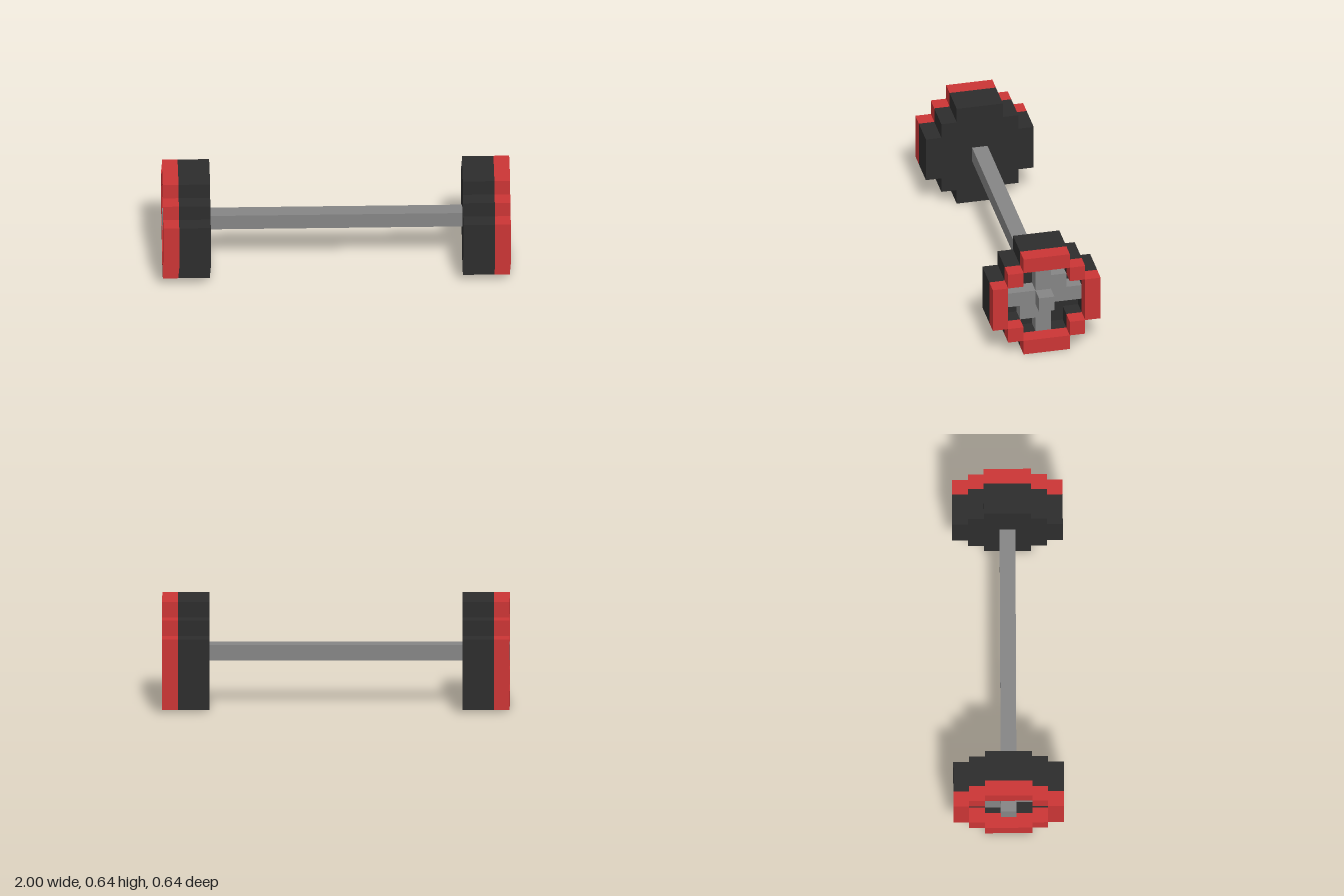
import * as THREE from 'three';

const U = 2 / 22; // one block of the blocky grid
const CY = 3.5 * U; // height of the bar's axis

export function createModel() {
  const model = new THREE.Group();
  model.name = 'barbell';
  const mat = (name, color) => {
    const m = new THREE.MeshStandardMaterial({ color });
    m.name = name;
    return m;
  };
  const red = mat('red rim', 0xcb3535);
  const black = mat('black plate', 0x2d2d2d);
  const grey = mat('grey steel', 0x858585);

  // Extrudes a stepped outline (in blocks) outwards along x, from block x0
  const slab = (points, x0, depth) => {
    const shape = new THREE.Shape(points.map(([a, b]) => new THREE.Vector2(a * U, b * U)));
    const g = new THREE.ExtrudeGeometry(shape, { depth: depth * U, bevelEnabled: false });
    return g.rotateY(Math.PI / 2).translate(x0 * U, 0, 0);
  };
  const add = (parent, name, geometry, material) => {
    const mesh = new THREE.Mesh(geometry, material);
    mesh.name = name;
    parent.add(mesh);
  };

  // Ring of four long blocks and four corner blocks
  const addRing = (parent, name, x0, material) => {
    const ring = new THREE.Group();
    ring.name = name;
    for (let i = 0; i < 4; i++) {
      const side = new THREE.BoxGeometry(U, U, 3 * U).translate((x0 + 0.5) * U, 3 * U, 0);
      const corner = new THREE.BoxGeometry(U, U, U).translate((x0 + 0.5) * U, 2 * U, 2 * U);
      add(ring, 'ringSide', side.rotateX((i * Math.PI) / 2), material);
      add(ring, 'ringCorner', corner.rotateX((i * Math.PI) / 2), material);
    }
    parent.add(ring);
  };

  // Stepped round outline, one quarter turned four times
  const quarter = [[3.5, 1.5], [2.5, 1.5], [2.5, 2.5], [1.5, 2.5], [1.5, 3.5]];
  const disc = [];
  let turned = quarter;
  for (let i = 0; i < 4; i++) {
    disc.push(...turned);
    turned = turned.map(([a, b]) => [-b, a]);
  }

  // Spokes, with two filled elbows; second half is the first turned by 180 degrees
  const half = [[-0.5, 2.5], [0.5, 2.5], [0.5, 1.5], [1.5, 1.5], [1.5, 0.5], [2.5, 0.5], [2.5, -0.5], [0.5, -0.5]];
  const spokes = [...half, ...half.map(([a, b]) => [-a, -b])];

  // Weights, the second turned round to the other end
  for (const [name, turn] of [['leftWeight', 0], ['rightWeight', Math.PI]]) {
    const weight = new THREE.Group();
    weight.name = name;
    add(weight, 'innerPlate', slab(disc, 8, 1), black);
    addRing(weight, 'outerPlate', 9, black);
    addRing(weight, 'redRim', 10, red);
    add(weight, 'spokes', slab(spokes, 9, 1), grey);
    add(weight, 'barEnd', new THREE.BoxGeometry(U, U, U).translate(10.5 * U, 0, 0), grey);
    weight.rotation.y = turn;
    weight.position.y = CY;
    model.add(weight);
  }

  // Bar
  add(model, 'bar', new THREE.BoxGeometry(16 * U, U, U).translate(0, CY, 0), grey);
  return model;
}
